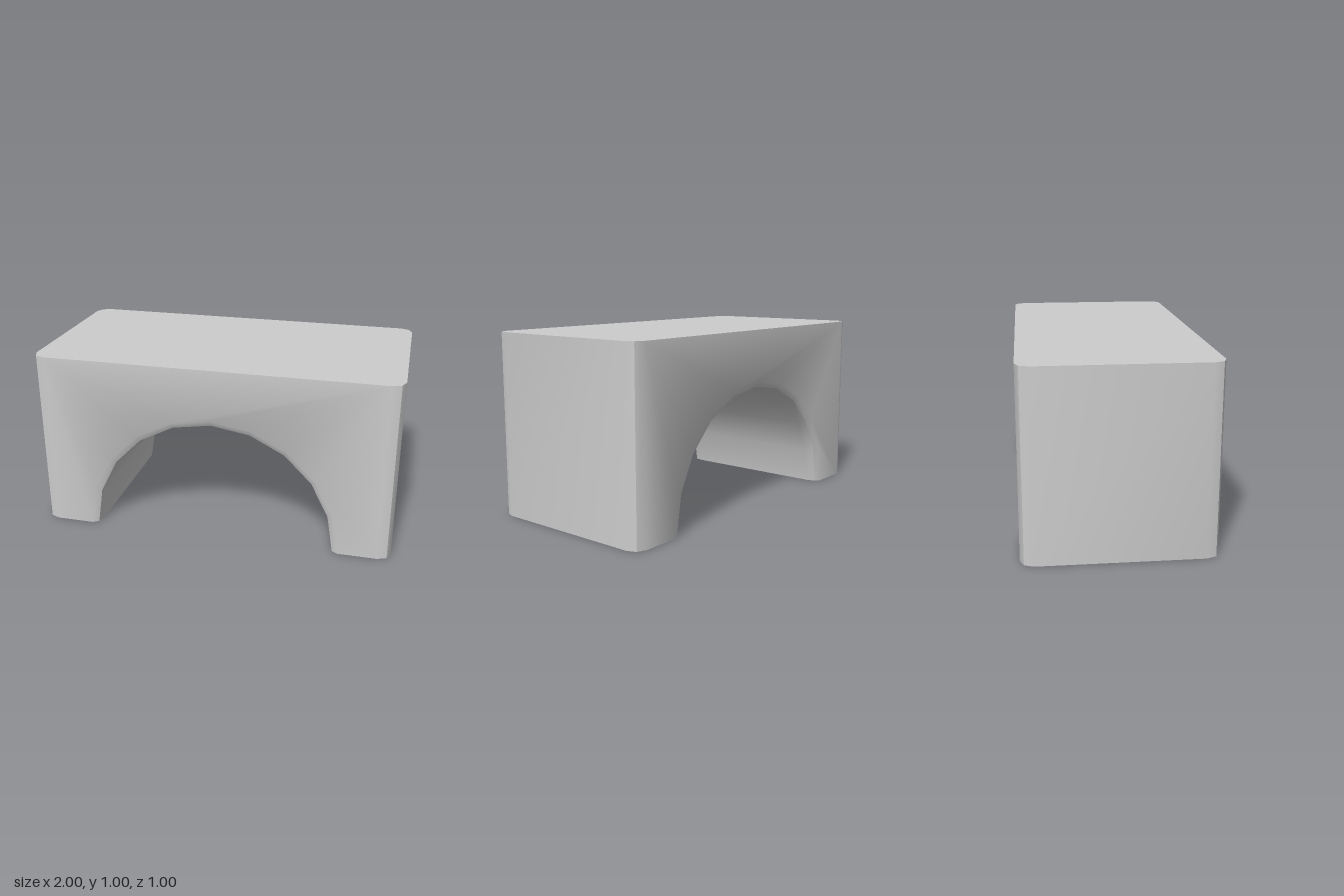
import * as THREE from 'three';
import { mergeGeometries, toCreasedNormals } from 'three/addons/utils/BufferGeometryUtils.js';

// Rounded edge section running front to back: [inset, z]
const edge = [[0.07, 0.5], [0.02, 0.48], [0, 0.43], [0, -0.43], [0.02, -0.48], [0.07, -0.5]];
const ARCH_R = 0.67, ARCH_EDGE = 0.65, ARCH_STEPS = 10;
const archRadius = (inset) => ARCH_R + inset * ARCH_EDGE;

// Sweep the edge section through a number of steps
function sweep(steps, place) {
  const pos = [];
  for (let j = 0; j < steps; j++) {
    for (let i = 0; i < edge.length - 1; i++) {
      const a = place(edge[i], j / steps), b = place(edge[i + 1], j / steps);
      const c = place(edge[i + 1], (j + 1) / steps), d = place(edge[i], (j + 1) / steps);
      pos.push(...a, ...b, ...c, ...a, ...c, ...d);
    }
  }
  const g = new THREE.BufferGeometry();
  g.setAttribute('position', new THREE.Float32BufferAttribute(pos, 3));
  return g;
}

// Flat face from a list of outline points
function flat(points) {
  const shape = new THREE.Shape(points.map(([x, y]) => new THREE.Vector2(x, y)));
  const g = new THREE.ShapeGeometry(shape).toNonIndexed();
  g.deleteAttribute('normal');
  g.deleteAttribute('uv');
  return g;
}

export function createModel() {
  const group = new THREE.Group();
  group.name = 'archBlock';

  // Front face outline with the arch opening
  const faceX = 1 - edge[0][0], faceR = archRadius(edge[0][0]);
  const outline = [[-faceX, 0], [-faceX, 1], [faceX, 1], [faceX, 0]];
  for (let j = 0; j <= ARCH_STEPS; j++) {
    const t = (j / ARCH_STEPS) * Math.PI;
    outline.push([faceR * Math.cos(t), j === ARCH_STEPS ? 0 : faceR * Math.sin(t)]);
  }
  const front = flat(outline).translate(0, 0, 0.5);
  const back = front.clone().rotateY(Math.PI);

  // End walls with rounded vertical corners
  const endWall = sweep(1, ([inset, z], t) => [1 - inset, t, z]);
  const otherEnd = endWall.clone().rotateY(Math.PI);

  // Underside of the arch
  const soffit = sweep(ARCH_STEPS, ([inset, z], t) => {
    const r = archRadius(inset), angle = Math.PI * (1 - t);
    return [r * Math.cos(angle), t === 0 || t === 1 ? 0 : r * Math.sin(angle), z];
  });

  // Top face and the two feet
  const outer = edge.map(([inset, z]) => [1 - inset, z]);
  const top = flat([...outer, ...outer.map(([x, z]) => [-x, -z])])
    .rotateX(-Math.PI / 2).translate(0, 1, 0);
  const inner = edge.map(([inset, z]) => [archRadius(inset), z]).reverse();
  const foot = flat([...outer, ...inner]).rotateX(Math.PI / 2);
  const otherFoot = foot.clone().rotateY(Math.PI);

  const geometry = toCreasedNormals(
    mergeGeometries([front, back, endWall, otherEnd, soffit, top, foot, otherFoot]), 0.75);
  const block = new THREE.Mesh(geometry, new THREE.MeshStandardMaterial({ color: 0xcccccc }));
  block.name = 'archBody';
  group.add(block);
  return group;
}
